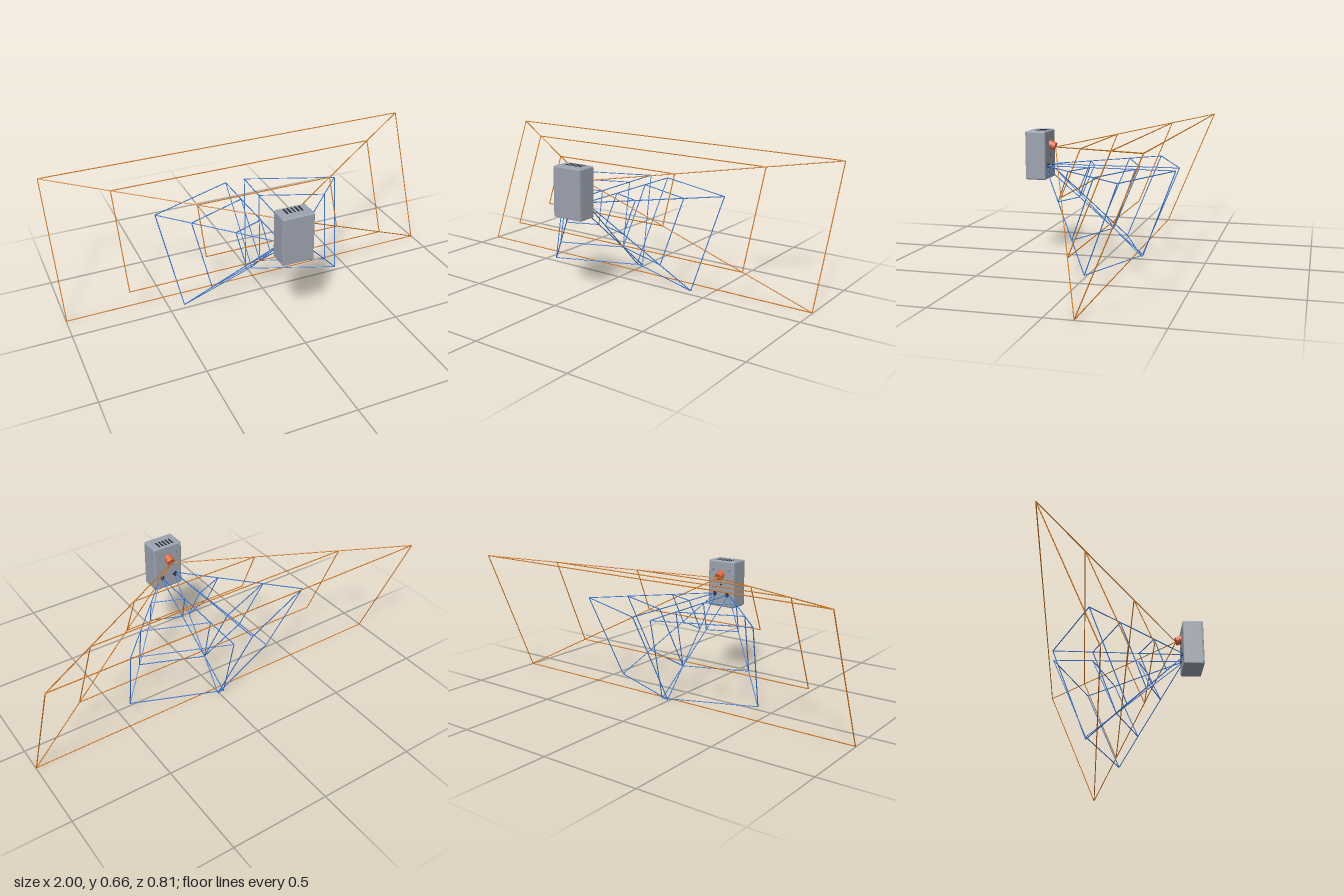
import * as THREE from 'three';
import { RoundedBoxGeometry } from 'three/addons/geometries/RoundedBoxGeometry.js';

const paint = (color) => new THREE.MeshStandardMaterial({ color });
const grey = paint(0x9ca3af), dark = paint(0x2b2f36), steel = paint(0x6b7280);
const orange = paint(0xd97b1f), lensOrange = paint(0xe0673a), blue = paint(0x3b7ddd);
const V = (x, y, z) => new THREE.Vector3(x, y, z);

function add(group, name, geometry, material, x = 0, y = 0, z = 0) {
  const mesh = new THREE.Mesh(geometry, material);
  mesh.name = name;
  mesh.position.set(x, y, z);
  group.add(mesh);
  return mesh;
}

// Cylinder running from a to b
function rod(group, name, a, b, radius, material, sides = 6) {
  const dir = b.clone().sub(a);
  const mesh = add(group, name, new THREE.CylinderGeometry(radius, radius, dir.length(), sides), material);
  mesh.position.copy(a).add(b).multiplyScalar(0.5);
  mesh.quaternion.setFromUnitVectors(V(0, 1, 0), dir.normalize());
  return mesh;
}

// Wire pyramid: rays from the apex to chosen corners, plus rectangles at three distances
function viewCone(name, apex, corners, rays, material) {
  const group = new THREE.Group();
  group.name = name;
  const wire = 0.0025;
  for (const i of rays) rod(group, 'ray', apex, corners[i], wire, material);
  for (const t of [0.35, 0.7, 1]) {
    const ring = corners.map((c) => apex.clone().lerp(c, t));
    ring.forEach((p, i) => rod(group, 'rangeFrame', p, ring[(i + 1) % 4], wire, material));
  }
  return group;
}

function housing() {
  const group = new THREE.Group();
  group.name = 'housing';
  add(group, 'body', new RoundedBoxGeometry(0.16, 0.245, 0.102, 3, 0.008), grey, 0, 0.5175, 0.35);
  // Front cover
  add(group, 'frontCover', new RoundedBoxGeometry(0.156, 0.241, 0.012, 2, 0.004), grey, 0, 0.5175, 0.398);
  // Vent slots on the top
  for (let i = -2; i <= 2; i++) {
    add(group, 'ventSlot', new THREE.BoxGeometry(0.009, 0.003, 0.045), dark, i * 0.019, 0.6395, 0.336);
  }
  // Tilted main lens barrel
  rod(group, 'mainLens', V(0, 0.574, 0.312), V(0, 0.5575, 0.271), 0.021, lensOrange, 24);
  // Paired lower lenses, one per side cone
  for (const s of [-1, 1]) {
    rod(group, 'sideLens', V(s * 0.037, 0.463, 0.306), V(s * 0.041, 0.463, 0.296), 0.012, dark, 16);
    rod(group, 'screw', V(s * 0.05, 0.59, 0.304), V(s * 0.05, 0.59, 0.297), 0.004, steel, 10);
  }
  // Small indicator between the lenses
  add(group, 'indicator', new THREE.SphereGeometry(0.005, 12, 8), dark, 0, 0.515, 0.299);
  return group;
}

export function createModel() {
  const model = new THREE.Group();
  model.name = 'sensorWithViewCones';
  model.add(housing());

  // Wide main cone
  model.add(viewCone('mainViewCone', V(0, 0.555, 0.27), [
    V(-0.998, 0.662, -0.401), V(0.998, 0.662, -0.401),
    V(0.998, 0.003, -0.13), V(-0.998, 0.003, -0.13),
  ], [0, 1, 2], orange));

  // Mirrored pair of side cones, turned outward and tilted down
  for (const s of [-1, 1]) {
    model.add(viewCone(s > 0 ? 'leftViewCone' : 'rightViewCone', V(s * 0.04, 0.463, 0.312), [
      V(s * 0.498, 0.463, -0.177), V(s * 0.053, 0.463, -0.356),
      V(s * -0.017, 0.019, -0.183), V(s * 0.428, 0.019, -0.004),
    ], [0, 1, 2, 3], blue));
  }
  return model;
}
